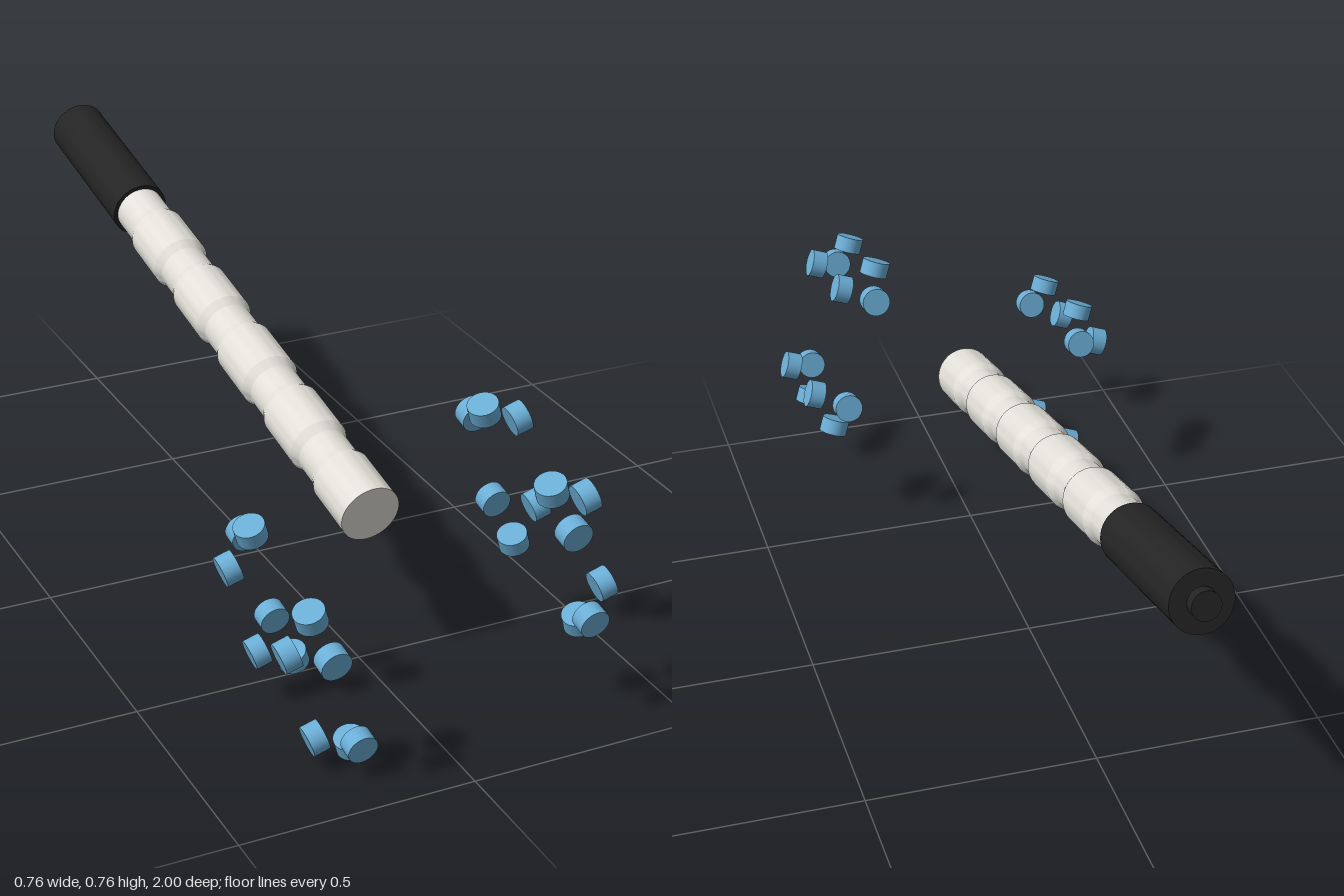
import * as THREE from 'three';
import { toCreasedNormals } from 'three/addons/utils/BufferGeometryUtils.js';

export function createModel() {
  const model = new THREE.Group();
  model.name = 'hammer';

  // Local frame: z runs along the handle, origin at the centre of the head
  const z = new THREE.Vector3(0.0225, -0.2133, 0.9767).normalize();
  const y = z.clone().cross(new THREE.Vector3(0.944, 0.329, 0.052)).normalize();
  const x = y.clone().cross(z);
  const body = new THREE.Group();
  body.name = 'tiltedBody';
  body.quaternion.setFromRotationMatrix(new THREE.Matrix4().makeBasis(x, y, z));
  body.position.set(0, 0.3215, 0.743);
  model.add(body);

  const white = new THREE.MeshStandardMaterial({ color: 0xe2e0d8 });
  const black = new THREE.MeshStandardMaterial({ color: 0x242424 });
  const blue = new THREE.MeshStandardMaterial({ color: 0x6baed6 });

  // A turned part along -z, starting at the given z; profile is [radius, distance]
  function turned(name, profile, start, material) {
    const points = profile.map(([r, d]) => new THREE.Vector2(r, d));
    const geometry = new THREE.LatheGeometry(points, 48).rotateX(-Math.PI / 2);
    const mesh = new THREE.Mesh(toCreasedNormals(geometry, 0.35), material);
    mesh.name = name;
    mesh.position.z = start;
    body.add(mesh);
  }

  // Shaft: five wide rings, each followed by a narrower waist
  const R = 0.065, WAIST = 0.056, PERIOD = 0.235;
  const shaft = [[0, 0]];
  for (let i = 0; i < 5; i++) {
    const d = i * PERIOD;
    shaft.push([R, d], [R, d + 0.128], [WAIST, d + 0.15], [WAIST, d + PERIOD - 0.022]);
  }
  shaft.push([WAIST, 5 * PERIOD], [0, 5 * PERIOD]);
  turned('shaft', shaft, -0.2, white);

  // Grip and its end button
  turned('grip', [[0, 0], [R, 0], [R, 0.38], [0, 0.38]], -1.374, black);
  turned('endButton', [[0, 0], [0.03, 0], [0.03, 0.026], [0, 0.026]], -1.752, black);

  // Head studs: three discs at each corner of a box, one facing along each axis
  const half = [0.26, 0.13, 0.13], OUT = 0.065;
  const disc = new THREE.CylinderGeometry(0.032, 0.032, 0.035, 32);
  for (const sx of [-1, 1]) for (const sy of [-1, 1]) for (const sz of [-1, 1]) {
    const corner = new THREE.Group();
    corner.name = 'cornerStuds';
    ['x', 'y', 'z'].forEach((axis, i) => {
      const stud = new THREE.Mesh(disc, blue);
      stud.name = axis + 'Stud';
      const p = [sx * half[0], sy * half[1], sz * half[2]];
      p[i] += [sx, sy, sz][i] * OUT;
      stud.position.set(...p);
      if (axis === 'x') stud.rotation.z = Math.PI / 2;
      if (axis === 'z') stud.rotation.x = Math.PI / 2;
      corner.add(stud);
    });
    body.add(corner);
  }
  return model;
}
